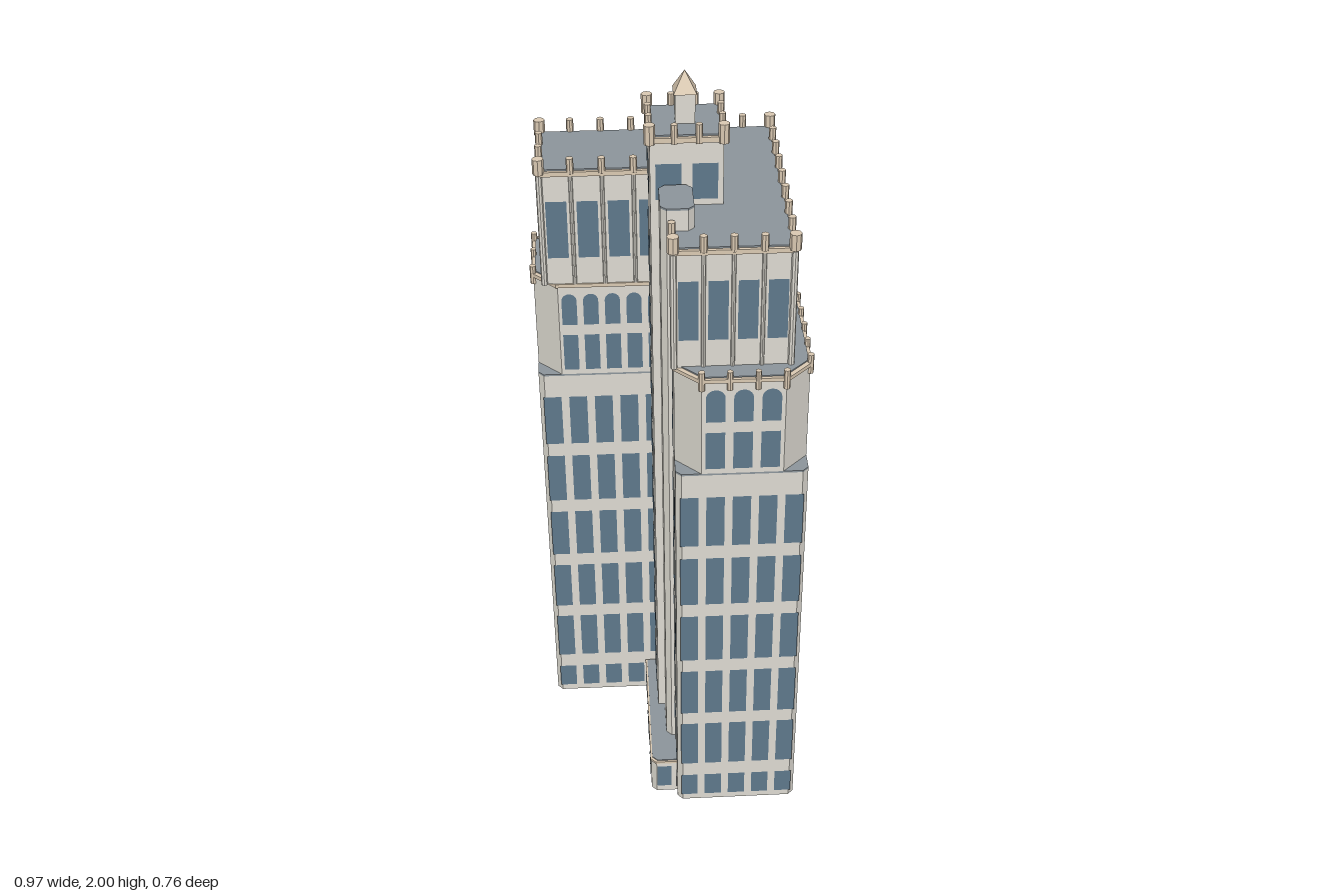
import * as THREE from 'three';
import { mergeGeometries } from 'three/addons/utils/BufferGeometryUtils.js';

const mat = (color) => new THREE.MeshStandardMaterial({ color, flatShading: true });
const WALL = mat(0xdedbd2), GLASS = mat(0x5f788b), ROOF = mat(0x8d969c), TRIM = mat(0xdccbb4);

// Plan coordinates [a, b] run along the two wings, which meet at the back corner.
// Cuts the convex corners of a plan outline; `keep` lists corners left sharp.
function chamfer(pts, cut, keep = []) {
  const out = [];
  pts.forEach((p, i) => {
    if (!cut || keep.includes(i)) return out.push(p);
    for (const q of [pts.at(i - 1), pts[(i + 1) % pts.length]]) {
      const len = Math.hypot(q[0] - p[0], q[1] - p[1]);
      out.push([p[0] + (q[0] - p[0]) * cut / len, p[1] + (q[1] - p[1]) * cut / len]);
    }
  });
  return out;
}

const rect = (a0, a1, b0, b1, g = 0) =>
  [[a0 - g, b0 - g], [a1 + g, b0 - g], [a1 + g, b1 + g], [a0 - g, b1 + g]];

// Corners of the L-shaped plan: wing widths are shared by all tiers
const A_IN = 0.29, B_IN = 0.318;
const corners = (a0, a1, b0, b1, g = 0) => [[a0 - g, b0 - g], [a1 + g, b0 - g], [a1 + g, B_IN + g],
  [A_IN + g, B_IN + g], [A_IN + g, b1 + g], [a0 - g, b1 + g]];

// L-shaped outline with cut corners and an optional slot in the long back wall
function ell(dim, cut, g = 0, slot = false) {
  const pts = chamfer(corners(...dim, g), cut, [3]);
  const a = dim[0] - g;
  if (slot) pts.push([a, 0.3], [a + 0.015, 0.3], [a + 0.015, 0.28], [a, 0.28]);
  // the slot lies between the last corner and the first
  return pts;
}

function slab(pts, y0, y1) {
  const shape = new THREE.Shape(pts.map(([a, b]) => new THREE.Vector2(a, -b)));
  const geo = new THREE.ExtrudeGeometry(shape, { depth: y1 - y0, bevelEnabled: false });
  return geo.rotateX(-Math.PI / 2).translate(0, y0, 0);
}

// One flat pane standing on y = 0, optionally round-headed
function pane(w, h, arched) {
  const s = new THREE.Shape();
  const r = w / 2, spring = arched ? h - r : h;
  s.moveTo(-r, 0).lineTo(r, 0).lineTo(r, spring);
  if (arched) s.absarc(0, spring, r, 0, Math.PI, false);
  else s.lineTo(-r, h);
  s.closePath();
  return new THREE.ShapeGeometry(s, 5);
}

// Row of panes on the wall from p to q (outside is on the left of travel in plan)
function paneRow(list, p, q, n, y0, y1, arched = false, fill = 0.7) {
  const dx = q[0] - p[0], dz = q[1] - p[1], len = Math.hypot(dx, dz);
  const nx = dz / len, nz = -dx / len;
  for (let i = 0; i < n; i++) {
    const t = (i + 0.5) / n;
    list.push(pane(len / n * fill, y1 - y0, arched).rotateY(Math.atan2(nx, nz))
      .translate(p[0] + dx * t + nx * 0.002, y0, p[1] + dz * t + nz * 0.002));
  }
}

// Slim posts along a wall, the end ones thicker
function postRow(list, p, q, n, y0, y1, r, endR) {
  for (let i = 0; i <= n; i++) {
    const t = i / n, radius = i % n ? r : endR;
    list.push(new THREE.CylinderGeometry(radius, radius, y1 - y0, 8)
      .translate(p[0] + (q[0] - p[0]) * t, (y0 + y1) / 2, p[1] + (q[1] - p[1]) * t));
  }
}

export function createModel() {
  const model = new THREE.Group();
  const plan = new THREE.Group();
  plan.name = 'building';
  plan.position.set(-0.03, 0, -0.388);
  plan.rotation.y = -Math.PI / 4;
  model.add(plan);
  const add = (name, geo, material) => {
    const mesh = new THREE.Mesh(geo, material);
    mesh.name = name;
    plan.add(mesh);
  };
  const glass = [], posts = [];

  // Lower tier: six storeys on the full plan
  const low = [0, 0.735, 0, 0.65];
  add('lowerTier', slab(ell(low, 0.014, 0, true), 0, 1.115), WALL);
  add('lowerLedge', slab(ell(low, 0.014, 0, true), 1.115, 1.12), ROOF);
  const lc = corners(...low);
  const lowWalls = [[lc[0], lc[1], 10], [lc[1], lc[2], 5], [lc[2], lc[3], 7], [lc[3], lc[4], 5],
    [lc[4], lc[5], 5], [lc[5], [0, 0.3], 5], [[0, 0.28], lc[0], 5]];
  for (const [p, q, n] of lowWalls) {
    paneRow(glass, p, q, n, 0.02, 0.095);
    for (let i = 0; i < 5; i++) paneRow(glass, p, q, n, 0.14 + i * 0.19, 0.29 + i * 0.19);
  }

  // Middle tier: same plan with broad plain corner cuts
  const cut = 0.061;
  add('middleTier', slab(ell(low, cut, 0, true), 1.12, 1.385), WALL);
  add('middleTrim', slab(ell(low, cut, 0.004, true), 1.38, 1.39), TRIM);
  add('middleLedge', slab(ell(low, cut, -0.004, true), 1.385, 1.393), ROOF);
  const midWalls = [[[cut, 0], [0.735 - cut, 0], 9], [[0.735, cut], [0.735, B_IN - cut], 3],
    [[0.735 - cut, B_IN], [A_IN, B_IN], 6], [[A_IN, B_IN], [A_IN, 0.65 - cut], 5],
    [[A_IN - cut, 0.65], [cut, 0.65], 2], [[0, 0.65 - cut], [0, 0.3], 4], [[0, 0.28], [0, cut], 3]];
  midWalls.forEach(([p, q, n], i) => {
    paneRow(glass, p, q, n, 1.135, 1.24);
    paneRow(glass, p, q, n, 1.27, 1.36, true);
    if (i !== 2 && i !== 3) postRow(posts, p, q, n, 1.36, 1.41, 0.007, 0.008);
  });

  // Upper tier: set back on the outer sides
  const up = [0.076, 0.684, 0.047, 0.62];
  add('upperTier', slab(ell(up, 0), 1.39, 1.695), WALL);
  add('upperTrim', slab(ell(up, 0, 0.005), 1.688, 1.7), TRIM);
  add('upperRoof', slab(ell(up, 0, -0.003), 1.695, 1.704), ROOF);
  const uc = corners(...up), seam = [0.076, B_IN];
  const upWalls = [[uc[0], uc[1], 8], [uc[1], uc[2], 4], [uc[2], uc[3], 6], [uc[3], uc[4], 4],
    [uc[4], uc[5], 3], [uc[5], seam, 4], [seam, uc[0], 4]];
  for (const [p, q, n] of upWalls) {
    paneRow(glass, p, q, n, 1.465, 1.62, false, 0.68);
    postRow(posts, p, q, n, 1.695, 1.735, 0.009, 0.014);
  }
  postRow(posts, seam, uc[3], 3, 1.695, 1.735, 0.009, 0.014);

  // Slim pilasters between the upper windows
  const pilasters = [];
  for (const [p, q, n] of upWalls) postRow(pilasters, p, q, n, 1.39, 1.69, 0.005, 0.008);
  add('upperPilasters', mergeGeometries(pilasters), WALL);

  // Square tower in the inner corner
  const tower = [0.317, 0.483, 0.192, 0.36];
  add('tower', slab(rect(...tower), 0, 1.87), WALL);
  add('towerTrim', slab(rect(...tower, 0.005), 1.862, 1.875), TRIM);
  add('towerRoof', slab(rect(...tower, -0.003), 1.87, 1.879), ROOF);
  const tc = rect(...tower);
  for (let i = 0; i < 4; i++) {
    const p = tc[i], q = tc[(i + 1) % 4];
    paneRow(glass, p, q, 2, 1.72, 1.81);
    postRow(posts, p, q, 3, 1.86, 1.907, 0.008, 0.013);
  }
  for (let i = 0; i < 8; i++) paneRow(glass, tc[2], tc[3], 2, 0.14 + i * 0.19, 0.29 + i * 0.19);

  // Plain stair shaft beside the tower
  const shaft = chamfer(rect(0.49, 0.605, 0.265, 0.342), 0.014);
  add('stairShaft', slab(shaft, 0, 1.755), WALL);
  add('stairShaftRoof', slab(shaft, 1.755, 1.76), ROOF);

  // Low entrance block along the inner wall
  const hall = [0.3, 0.7, 0.3, 0.388];
  const hallPlan = (g) => chamfer(rect(...hall, g), 0.014, [0, 1, 3]);
  add('entranceBlock', slab(hallPlan(0), 0, 0.11), WALL);
  add('entranceTrim', slab(hallPlan(0.002), 0.106, 0.113), TRIM);
  add('entranceRoof', slab(hallPlan(-0.003), 0.11, 0.116), ROOF);
  paneRow(glass, [0.7, 0.388], [0.3, 0.388], 8, 0.02, 0.095, false, 0.65);
  paneRow(glass, [0.7, B_IN], [0.7, 0.388], 1, 0.02, 0.095, false, 0.55);

  // Lantern with a pyramid cap
  const mid = [0.4, 0.276];
  add('lantern', new THREE.CylinderGeometry(0.032, 0.032, 0.08, 4)
    .rotateY(Math.PI / 4).translate(mid[0], 1.915, mid[1]), WALL);
  add('lanternCap', new THREE.ConeGeometry(0.038, 0.05, 4)
    .rotateY(Math.PI / 4).translate(mid[0], 1.975, mid[1]), TRIM);

  add('windows', mergeGeometries(glass), GLASS);
  add('parapetPosts', mergeGeometries(posts), TRIM);
  return model;
}
